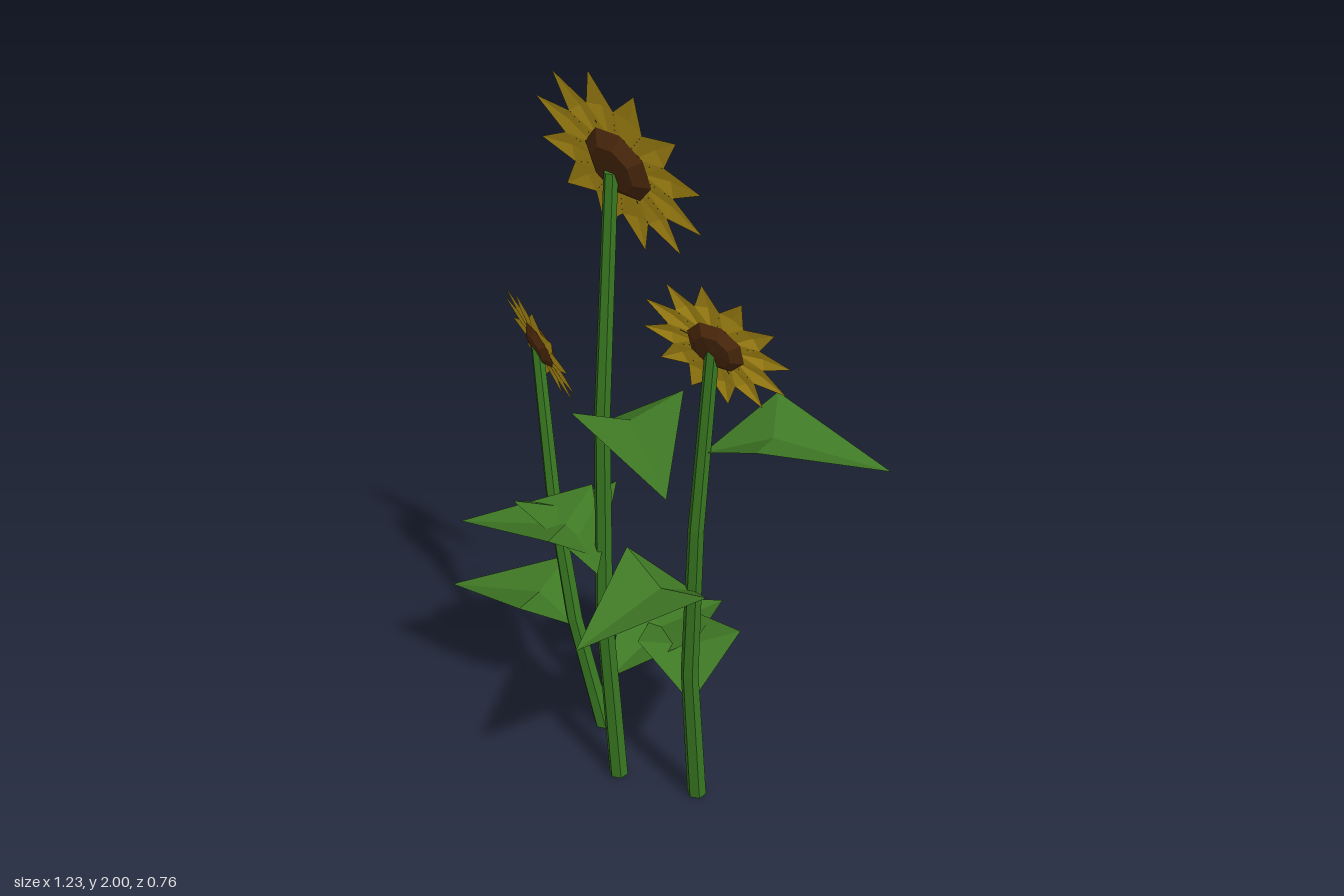
import * as THREE from 'three';

const flat = (name, color, side = THREE.FrontSide) => {
  const m = new THREE.MeshStandardMaterial({ color, flatShading: true, side });
  m.name = name;
  return m;
};
const stemGreen = flat('stem green', 0x397a22);
const leafGreen = flat('leaf green', 0x3f7925, THREE.DoubleSide);
const petalYellow = flat('petal yellow', 0xd5ae1d, THREE.DoubleSide);
const seedBrown = flat('seed brown', 0x532d0e);

function mesh(name, geometry, material) {
  const m = new THREE.Mesh(geometry, material);
  m.name = name;
  return m;
}

// Non-indexed triangles from a list of corner points
function facets(points) {
  const g = new THREE.BufferGeometry().setFromPoints(points);
  g.computeVertexNormals();
  return g;
}

// Position on a stem's bent centre line; spine holds four [x, z] points
function spineAt(spine, height, y) {
  const t = THREE.MathUtils.clamp(y / height, 0, 1) * 3;
  const i = Math.min(2, Math.floor(t));
  const [a, b] = [spine[i], spine[i + 1]];
  const mix = THREE.MathUtils.lerp;
  return new THREE.Vector3(mix(a[0], b[0], t - i), y, mix(a[1], b[1], t - i));
}

// Tapered six-sided stem, bent along its spine
function makeStem(spine, height) {
  const g = new THREE.CylinderGeometry(0.016, 0.026, height, 6, 3);
  g.translate(0, height / 2, 0);
  const p = g.attributes.position;
  for (let i = 0; i < p.count; i++) {
    const c = spineAt(spine, height, p.getY(i));
    p.setXYZ(i, p.getX(i) + c.x, p.getY(i), p.getZ(i) + c.z);
  }
  g.computeVertexNormals();
  return mesh('stem', g, stemGreen);
}

// Kite-shaped leaf, folded upward along its midrib; sway shifts its broad part
function makeLeaf(root, y, [tipX, tipZ], [swayX, swayZ]) {
  const tip = new THREE.Vector3(tipX, y, tipZ);
  const along = new THREE.Vector3(tipX - root.x, 0, tipZ - root.z).normalize();
  const across = new THREE.Vector3(-along.z, 0, along.x);
  const at = (a, c, rise) => new THREE.Vector3(root.x + swayX, y + rise, root.z + swayZ)
    .addScaledVector(along, a).addScaledVector(across, c);
  const base = new THREE.Vector3(root.x, y - 0.015, root.z);
  const mid = at(0.12, 0, 0.045);
  const left = at(0.105, -0.135, 0.085);
  const right = at(0.105, 0.135, 0.085);
  return mesh('leaf', facets([
    base, mid, left, mid, tip, left,
    base, right, mid, mid, right, tip,
  ]), leafGreen);
}

// Flower head facing local +z: closed ring of creased petals around a lens of seeds
function makeHead(radius) {
  const head = new THREE.Group();
  head.name = 'flowerHead';
  const count = 12;
  const points = [];
  for (let i = 0; i < count; i++) {
    const turn = (i / count) * Math.PI * 2;
    const at = (r, w, z) => new THREE.Vector3(w, r, z)
      .applyAxisAngle(new THREE.Vector3(0, 0, 1), turn).multiplyScalar(radius);
    const ridge = at(0.62, 0, 0.03);
    const tip = at(1, 0, 0);
    for (const side of [-1, 1]) {
      const root = at(0.3, 0, 0);
      const rootEdge = at(0.3, side * 0.08, 0);
      const edge = at(0.62, side * 0.166, 0);
      const half = [root, ridge, edge, root, edge, rootEdge, ridge, tip, edge];
      points.push(...(side < 0 ? half : half.reverse()));
    }
  }
  head.add(mesh('petals', facets(points), petalYellow));

  const profile = [[0, -0.1], [0.25, -0.09], [0.39, 0], [0.26, 0.1], [0, 0.13]]
    .map(([r, y]) => new THREE.Vector2(r * radius, y * radius));
  const seeds = new THREE.LatheGeometry(profile, 8);
  seeds.rotateX(Math.PI / 2);
  seeds.rotateZ(Math.PI / 8);
  head.add(mesh('seedDisc', seeds, seedBrown));
  return head;
}

// Leaves are [height, tip [x, z], sway [x, z]]
const flowers = [
  {
    name: 'tallFlower', height: 1.77, radius: 0.237, turn: 0, head: [0.018, 1.782, 0.058],
    spine: [[-0.04, 0.01], [-0.022, 0.075], [0, 0.095], [0.014, 0.075]],
    leaves: [
      [0.38, [-0.033, -0.385], [0, -0.075]],
      [0.78, [-0.37, 0.237], [0, -0.025]],
      [1.18, [0.345, 0.24], [0, -0.028]],
    ],
  },
  {
    name: 'middleFlower', height: 1.43, radius: 0.182, turn: 0.2, head: [0.277, 1.437, 0.025],
    spine: [[0.163, -0.085], [0.195, -0.01], [0.24, 0.03], [0.271, 0.028]],
    leaves: [
      [0.38, [-0.155, -0.275], [-0.02, -0.04]],
      [0.775, [0.205, 0.38], [0, -0.015]],
      [1.18, [0.61, -0.185], [0.028, -0.02]],
    ],
  },
  {
    name: 'shortFlower', height: 1.2, radius: 0.166, turn: -0.32, head: [-0.322, 1.207, -0.003],
    spine: [[-0.213, -0.1], [-0.25, -0.03], [-0.287, 0], [-0.327, 0]],
    leaves: [
      [0.38, [-0.615, 0.095], [-0.01, -0.02]],
      [0.78, [0.035, 0.15], [0, 0]],
    ],
  },
];

export function createModel() {
  const model = new THREE.Group();
  model.name = 'sunflowers';
  for (const f of flowers) {
    const flower = new THREE.Group();
    flower.name = f.name;
    flower.add(makeStem(f.spine, f.height));
    for (const [y, tip, sway] of f.leaves) {
      flower.add(makeLeaf(spineAt(f.spine, f.height, y), y, tip, sway));
    }
    // Heads look backward and a little upward
    const head = makeHead(f.radius);
    head.position.set(...f.head);
    head.rotation.set(-0.36, Math.PI + f.turn, 0, 'YXZ');
    flower.add(head);
    model.add(flower);
  }
  return model;
}
